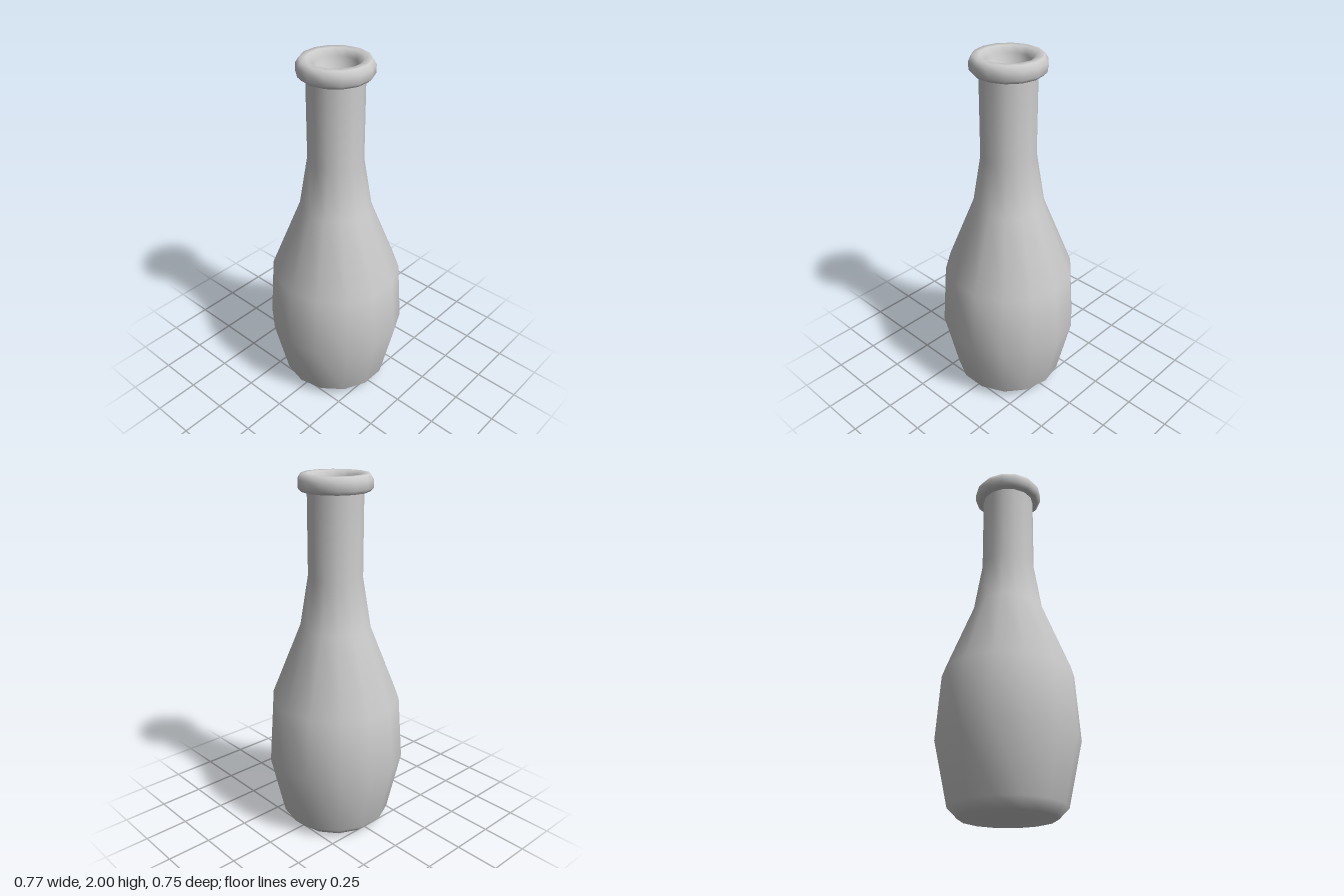
import * as THREE from 'three';

const SIDES = 14;

// Smooth-shaded body of revolution with a corner on the x axis
function turned(name, profile, material) {
  const points = profile.map(([r, y]) => new THREE.Vector2(r, y));
  const mesh = new THREE.Mesh(new THREE.LatheGeometry(points, SIDES, Math.PI / 2), material);
  mesh.name = name;
  return mesh;
}

export function createModel() {
  const group = new THREE.Group();
  group.name = 'bottle';
  const glass = new THREE.MeshStandardMaterial({ color: 0xcccccc });

  // Base, belly, shoulder and neck, running up under the lip
  group.add(turned('body', [
    [0, 0], [0.255, 0], [0.31, 0.055], [0.387, 0.405], [0.362, 0.765],
    [0.196, 1.18], [0.15, 1.46], [0.15, 1.915],
  ], glass));

  // Rounded lip that turns inward to the recessed mouth
  group.add(turned('lip', [
    [0.148, 1.911], [0.18, 1.911], [0.198, 1.93], [0.198, 1.972], [0.18, 2],
    [0.145, 2], [0.112, 1.97], [0.098, 1.85], [0, 1.85],
  ], glass));

  return group;
}
